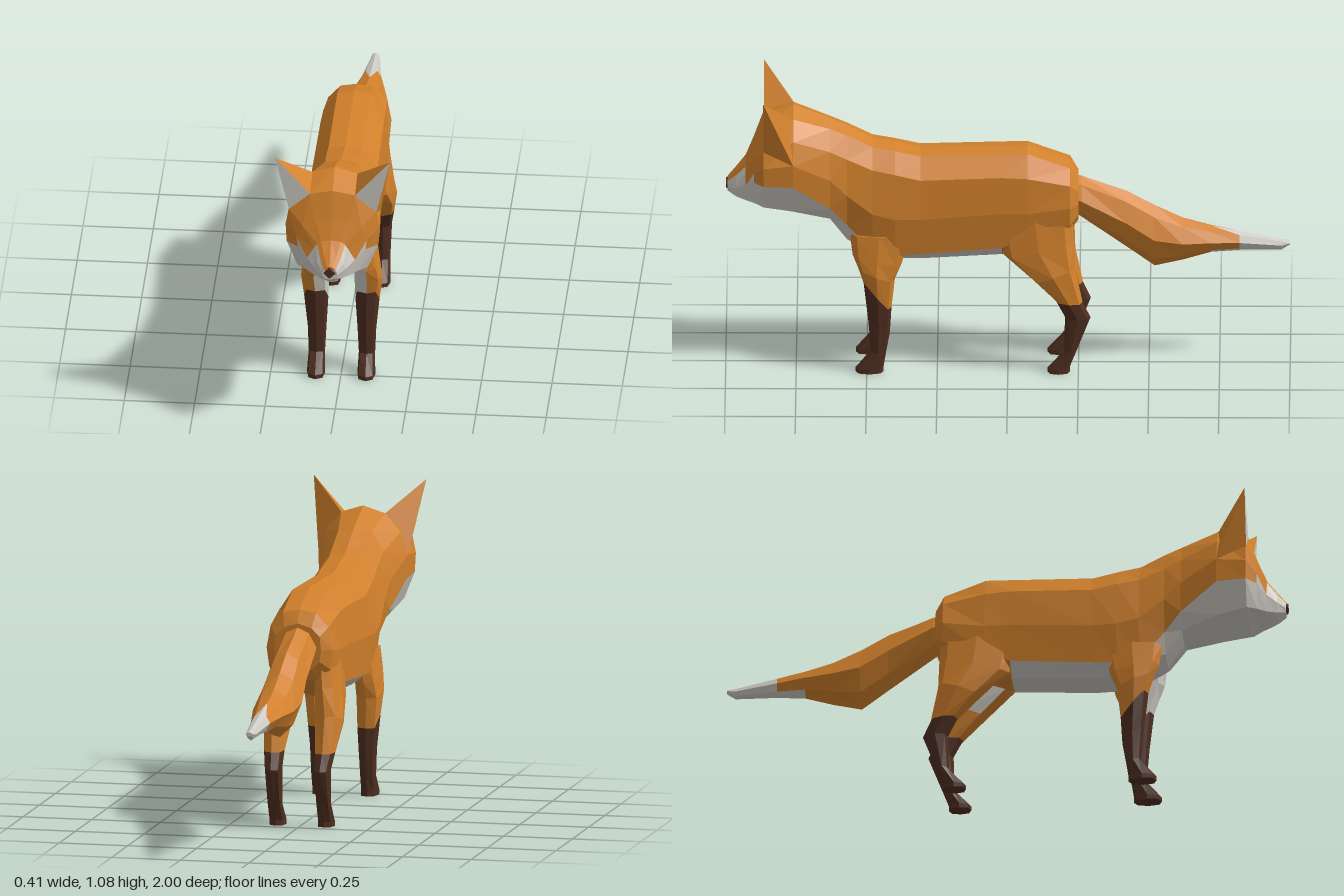
import * as THREE from 'three';

const material = (name, color) => {
  const m = new THREE.MeshStandardMaterial({ color });
  m.name = name;
  return m;
};

const ORANGE = 0, WHITE = 1, DARK = 2;

// Skins a list of equal-sized rings with flat faces; paint(ring, strip, triangle) picks the colour.
function loft(rings, paint) {
  const tris = [[], [], []];
  const n = rings[0].length;
  let volume = 0;
  const add = (c, p, q, r) => {
    const [a, b, d] = [p, q, r].map((v) => new THREE.Vector3(...v));
    if (b.clone().sub(a).cross(d.clone().sub(a)).length() < 1e-8) return;
    volume += a.dot(b.clone().cross(d));
    tris[c].push([p, q, r]);
  };
  for (let i = 0; i < rings.length - 1; i++) {
    for (let j = 0; j < n; j++) {
      const a = rings[i][j], b = rings[i][(j + 1) % n];
      const d = rings[i + 1][j], c = rings[i + 1][(j + 1) % n];
      if (j < n / 2) {
        add(paint(i, j, 0), a, b, c);
        add(paint(i, j, 1), a, c, d);
      } else {
        add(paint(i, j, 0), a, b, d);
        add(paint(i, j, 1), b, c, d);
      }
    }
  }
  const last = rings.length - 1;
  for (const i of [0, last]) {
    const ring = rings[i];
    const mid = [0, 1, 2].map((k) => ring.reduce((s, p) => s + p[k], 0) / n);
    for (let j = 0; j < n; j++) {
      const p = ring[j], q = ring[(j + 1) % n];
      const c = paint(i ? last - 1 : 0, j, 0);
      if (i === 0) add(c, mid, q, p);
      else add(c, mid, p, q);
    }
  }
  const geometry = new THREE.BufferGeometry();
  const positions = [];
  tris.forEach((list, c) => {
    if (!list.length) return;
    geometry.addGroup(positions.length / 3, list.length * 3, c);
    for (const [p, q, r] of list) positions.push(...p, ...(volume > 0 ? [...q, ...r] : [...r, ...q]));
  });
  geometry.setAttribute('position', new THREE.Float32BufferAttribute(positions, 3));
  geometry.computeVertexNormals();
  return geometry;
}

// Completes a half section (top centre to bottom centre) with its mirror image.
const section = (z, half) => [
  ...half.map(([x, y]) => [x, y, z]),
  ...half.slice(1, -1).reverse().map(([x, y]) => [-x, y, z]),
];

// Leg ring of eight points from inner/outer x and the front and back edges.
function legRing(s, [xi, xo, zf, yf, zb, yb]) {
  const w = xo - xi, zm = (zf + zb) / 2, ym = (yf + yb) / 2, xm = (xi + xo) / 2;
  const t = (zf - zb) * 0.12;
  return [
    [xi + w * 0.1, yf, zf - t], [xm, yf, zf], [xo - w * 0.12, yf, zf - t], [xo, ym, zm],
    [xo - w * 0.15, yb, zb + t], [xm, yb, zb], [xi + w * 0.12, yb, zb + t], [xi, ym, zm],
  ].map(([x, y, z]) => [s * x, y, z]);
}

export function createModel() {
  const model = new THREE.Group();
  model.name = 'fox';
  const mats = [material('orange fur', 0xd2812c), material('white fur', 0xcfcbc4), material('dark brown fur', 0x4e2e20)];
  const addMesh = (name, geometry, mat = mats) => {
    const mesh = new THREE.Mesh(geometry, mat);
    mesh.name = name;
    model.add(mesh);
    return mesh;
  };

  // Torso and neck, rump to back of head
  const back = section(0.76, [[0, 0.99], [0.08, 0.965], [0.135, 0.9], [0.163, 0.82], [0.16, 0.735], [0.115, 0.625], [0, 0.575]]);
  const torso = [
    section(-0.25, [[0, 0.735], [0.05, 0.72], [0.08, 0.69], [0.085, 0.64], [0.08, 0.6], [0.05, 0.57], [0, 0.56]]),
    section(-0.22, [[0, 0.78], [0.06, 0.77], [0.105, 0.72], [0.12, 0.64], [0.11, 0.57], [0.06, 0.53], [0, 0.52]]),
    section(-0.07, [[0, 0.835], [0.06, 0.825], [0.11, 0.75], [0.122, 0.62], [0.115, 0.52], [0.06, 0.47], [0, 0.46]]),
    section(0.02, [[0, 0.833], [0.06, 0.823], [0.112, 0.755], [0.122, 0.62], [0.11, 0.485], [0.06, 0.44], [0, 0.43]]),
    section(0.31, [[0, 0.825], [0.06, 0.815], [0.115, 0.745], [0.128, 0.6], [0.115, 0.462], [0.065, 0.425], [0, 0.418]]),
    section(0.4, [[0, 0.848], [0.06, 0.835], [0.112, 0.765], [0.132, 0.6], [0.115, 0.455], [0.06, 0.425], [0, 0.42]]),
    section(0.48, [[0, 0.862], [0.058, 0.85], [0.105, 0.78], [0.13, 0.62], [0.11, 0.47], [0.05, 0.435], [0, 0.42]]),
    section(0.57, [[0, 0.91], [0.058, 0.895], [0.102, 0.82], [0.125, 0.69], [0.105, 0.57], [0.07, 0.5], [0, 0.48]]),
    section(0.63, [[0, 0.938], [0.06, 0.92], [0.105, 0.85], [0.13, 0.75], [0.125, 0.64], [0.085, 0.585], [0, 0.56]]),
    back,
  ];
  addMesh('torso', loft(torso, (i, j) => {
    const s = Math.min(j, 11 - j);
    return s >= 4 && i >= 3 ? WHITE : ORANGE;
  }));

  // Head from the back of the skull to the snout tip
  const head = [
    back,
    section(0.865, [[0, 0.95], [0.08, 0.935], [0.155, 0.87], [0.167, 0.81], [0.163, 0.74], [0.125, 0.645], [0, 0.6]]),
    section(0.9, [[0, 0.855], [0.06, 0.845], [0.105, 0.825], [0.125, 0.775], [0.12, 0.738], [0.095, 0.65], [0, 0.625]]),
    section(0.93, [[0, 0.785], [0.035, 0.78], [0.05, 0.77], [0.062, 0.75], [0.085, 0.71], [0.07, 0.65], [0, 0.62]]),
    section(0.965, [[0, 0.745], [0.022, 0.74], [0.036, 0.73], [0.048, 0.715], [0.055, 0.69], [0.045, 0.655], [0, 0.635]]),
    section(0.993, [[0, 0.712], [0.01, 0.71], [0.02, 0.702], [0.026, 0.69], [0.027, 0.68], [0.02, 0.665], [0, 0.66]]),
  ];
  addMesh('head', loft(head, (i, j, k) => {
    const s = Math.min(j, 11 - j);
    if (i >= 3) return s >= 2 ? WHITE : ORANGE;
    return s >= 4 || (i === 2 && s === 3 && k === 0) ? WHITE : ORANGE;
  }));

  // Nose
  const nose = addMesh('nose', new THREE.CylinderGeometry(0.02, 0.024, 0.012, 4).toNonIndexed(), mats[DARK]);
  nose.geometry.computeVertexNormals();
  nose.rotation.x = Math.PI / 2;
  nose.position.set(0, 0.688, 0.994);

  const frontRings = [
    [0.045, 0.125, 0.56, 0.53, 0.35, 0.53], [0.045, 0.138, 0.55, 0.45, 0.375, 0.42],
    [0.045, 0.145, 0.53, 0.4, 0.4, 0.36], [0.048, 0.134, 0.511, 0.34, 0.412, 0.25],
    [0.055, 0.122, 0.495, 0.2, 0.418, 0.15], [0.06, 0.118, 0.485, 0.08, 0.432, 0.07],
    [0.058, 0.121, 0.54, 0.015, 0.44, 0.02], [0.058, 0.121, 0.54, 0, 0.44, 0],
  ];
  const hindRings = [
    [0.035, 0.115, 0.04, 0.58, -0.225, 0.66], [0.04, 0.132, 0.015, 0.45, -0.235, 0.5],
    [0.045, 0.145, -0.085, 0.36, -0.238, 0.4], [0.055, 0.13, -0.17, 0.275, -0.265, 0.27],
    [0.058, 0.12, -0.203, 0.21, -0.293, 0.21], [0.062, 0.116, -0.2, 0.08, -0.247, 0.09],
    [0.058, 0.119, -0.14, 0.015, -0.22, 0.02], [0.058, 0.119, -0.14, 0, -0.22, 0],
  ];
  for (const s of [1, -1]) {
    const side = s > 0 ? 'left' : 'right';

    // Legs: white inside at the top, dark stockings below
    addMesh(side + 'FrontLeg', loft(frontRings.map((r) => legRing(s, r)), (i, j) =>
      i >= 3 ? DARK : j === 0 || j === 7 ? WHITE : ORANGE));
    addMesh(side + 'HindLeg', loft(hindRings.map((r) => legRing(s, r)), (i, j) =>
      i >= 3 ? DARK : i < 2 && j >= 6 ? WHITE : ORANGE));

    // Ears: four-sided spikes with a white front
    const base = [[0.08, 0.935, 0.866], [0.155, 0.87, 0.866], [0.163, 0.82, 0.76], [0.08, 0.965, 0.76]];
    const ear = [base, base.map(() => [0.205, 1.075, 0.866])].map((r) => r.map(([x, y, z]) => [s * x, y, z]));
    addMesh(side + 'Ear', loft(ear, (i, j) => (j === 0 ? WHITE : ORANGE)));
  }

  // Tail: [z, top, bottom, half width]
  const tail = [
    [-0.2, 0.73, 0.6, 0.06], [-0.26, 0.718, 0.56, 0.07], [-0.42, 0.66, 0.445, 0.072],
    [-0.52, 0.605, 0.372, 0.08], [-0.62, 0.557, 0.395, 0.075], [-0.72, 0.527, 0.425, 0.055],
    [-0.82, 0.507, 0.433, 0.035], [-0.97, 0.475, 0.435, 0.018], [-1, 0.47, 0.455, 0.012],
  ].map(([z, t, b, w]) => section(z, [
    [0, t], [w * 0.6, t - (t - b) * 0.12], [w, t - (t - b) * 0.45], [w * 0.6, b + (t - b) * 0.2], [0, b],
  ]));
  addMesh('tail', loft(tail, (i, j, k) => {
    const s = Math.min(j, 7 - j);
    return i >= 6 || (i === 5 && (s === 3 || (s === 0 && k === 1))) ? WHITE : ORANGE;
  }));

  return model;
}
